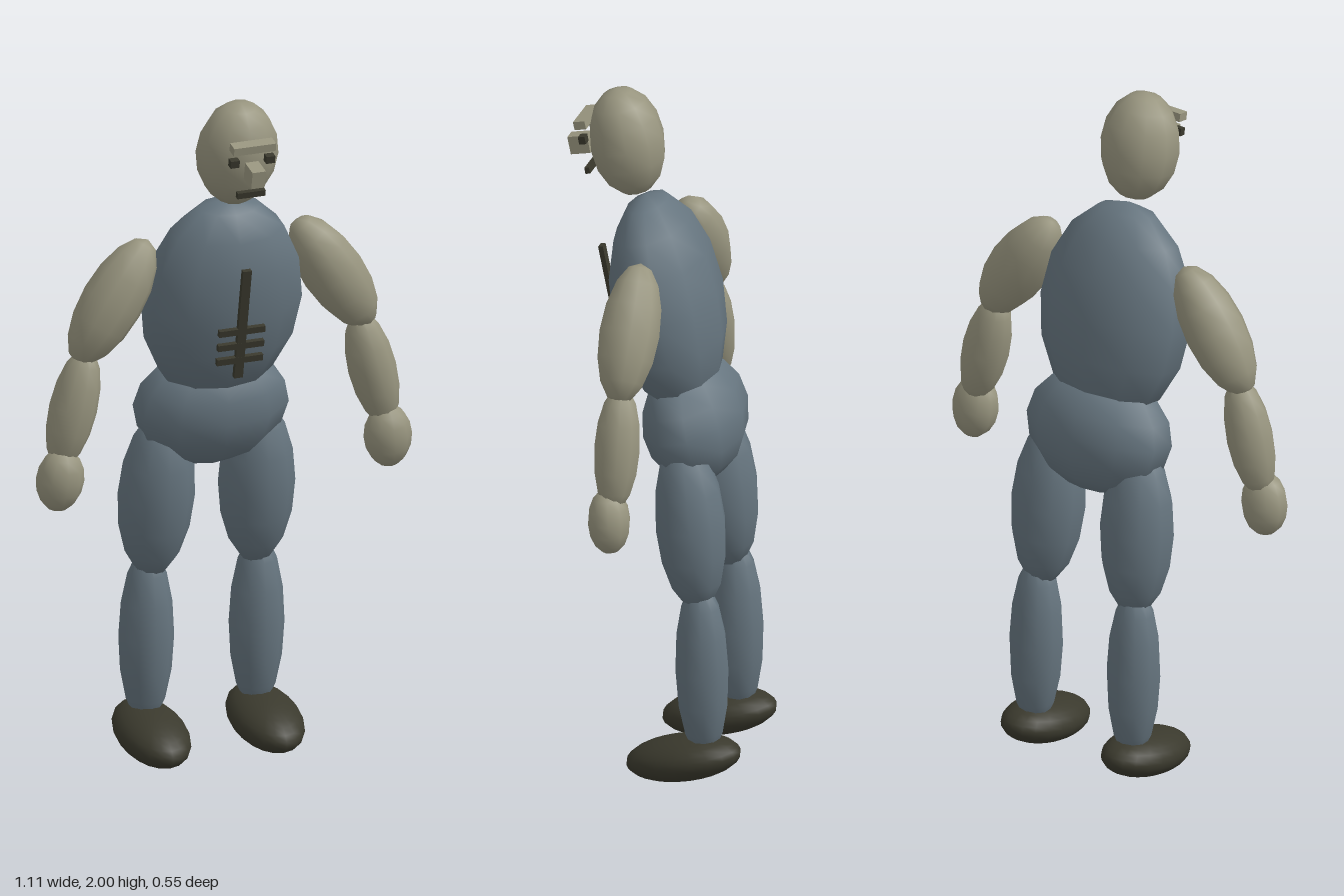
import * as THREE from 'three';

const mat = (name, color) => {
  const m = new THREE.MeshStandardMaterial({ color });
  m.name = name;
  return m;
};

export function createModel() {
  const skin = mat('skin', 0x98957f);
  const suit = mat('suit', 0x66757f);
  const dark = mat('dark', 0x3a392d);
  const model = new THREE.Group();
  model.name = 'figure';
  const LEAN = 0.2; // forward lean shared by the spine and feet

  // Coarse ball for the body (a corner points to the front), finer ball for shoes
  const ball = new THREE.SphereGeometry(1, 10, 8).rotateY(Math.PI / 10);
  const fineBall = new THREE.SphereGeometry(1, 20, 14);

  function add(geometry, name, material, pos, scale, rot = [0, 0, 0]) {
    const mesh = new THREE.Mesh(geometry, material);
    mesh.name = name;
    mesh.position.set(...pos);
    mesh.scale.set(...scale);
    mesh.rotation.set(...rot);
    model.add(mesh);
    return mesh;
  }
  const blob = (name, material, pos, radii, rot) =>
    add(ball, name, material, pos, radii, rot);
  const cube = new THREE.BoxGeometry(1, 1, 1);
  const box = (name, material, pos, size) =>
    add(cube, name, material, pos, size, [LEAN, 0, 0]);

  // Spine
  blob('head', skin, [0, 1.845, 0.108], [0.117, 0.158, 0.106], [LEAN, 0, 0]);
  blob('torso', suit, [0, 1.375, -0.01], [0.235, 0.322, 0.148], [LEAN, 0, 0]);
  blob('pelvis', suit, [0, 1.035, -0.09], [0.228, 0.178, 0.14], [LEAN, 0, 0]);

  // Limbs, mirrored
  for (const s of [1, -1]) {
    const side = s > 0 ? 'left' : 'right';
    blob(side + 'UpperArm', skin, [s * 0.33, 1.41, 0], [0.088, 0.2, 0.087], [0, 0, s * 0.565]);
    blob(side + 'Forearm', skin, [s * 0.447, 1.11, 0], [0.068, 0.178, 0.066], [0, 0, s * 0.24]);
    blob(side + 'Hand', skin, [s * 0.49, 0.908, 0.01], [0.069, 0.094, 0.06], [0.08, 0, s * 0.08]);
    blob(side + 'Thigh', suit, [s * 0.15, 0.775, -0.122], [0.109, 0.252, 0.1], [0.11, 0, s * 0.03]);
    blob(side + 'Shin', suit, [s * 0.165, 0.345, -0.16], [0.078, 0.265, 0.077], [0.03, 0, 0]);
    add(fineBall, side + 'Shoe', dark, [s * 0.17, 0.074, -0.108], [0.1, 0.063, 0.168], [LEAN, 0, 0]);
    box(side + 'Eye', dark, [s * 0.053, 1.857, 0.22], [0.026, 0.022, 0.02]);
  }

  // Face
  box('brow', skin, [0, 1.9, 0.228], [0.125, 0.024, 0.034]);
  box('nose', skin, [0, 1.822, 0.243], [0.04, 0.052, 0.058]);
  box('mouth', dark, [0, 1.757, 0.212], [0.083, 0.018, 0.014]);

  // Chest harness: one long strip with three short crossbars
  box('chestStrip', dark, [0, 1.35, 0.148], [0.026, 0.345, 0.014]);
  for (const y of [1.327, 1.282, 1.237]) {
    box('chestCrossbar', dark, [0, y, 0.148 + (y - 1.35) * LEAN], [0.137, 0.019, 0.014]);
  }
  return model;
}
